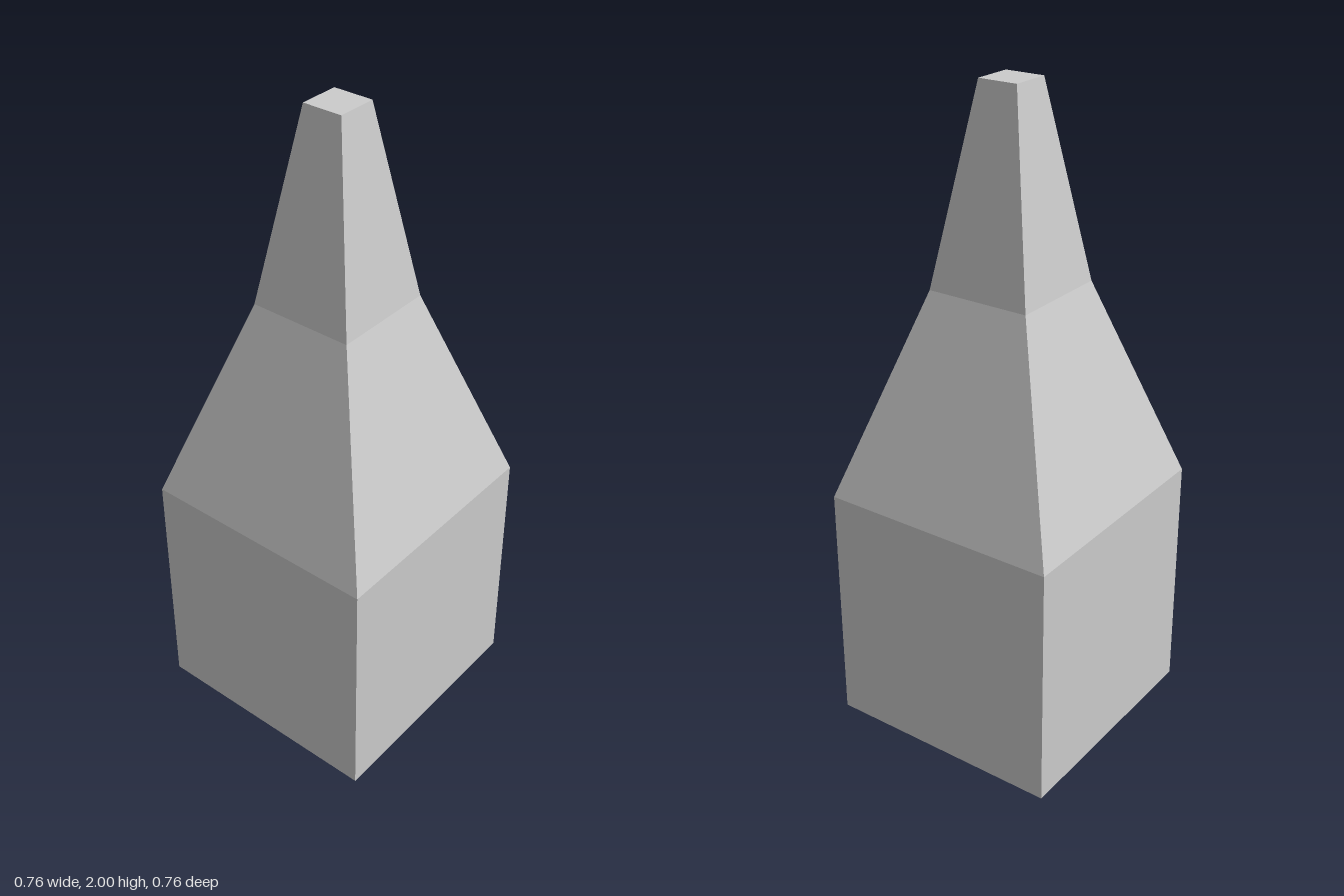
import * as THREE from 'three';

const material = new THREE.MeshStandardMaterial({ color: 0xcccccc, flatShading: true });

// Square section swept up a profile of [half width, height] points
function squareTier(name, profile) {
  const points = profile.map(([half, y]) => new THREE.Vector2(half * Math.SQRT2, y));
  const mesh = new THREE.Mesh(new THREE.LatheGeometry(points, 4, Math.PI / 4), material);
  mesh.name = name;
  return mesh;
}

export function createModel() {
  const group = new THREE.Group();
  group.name = 'taperedTower';

  const base = [0.38, 0.77];
  const neck = [0.165, 1.41];
  const tip = [0.063, 2];

  group.add(
    // Square block, closed underneath
    squareTier('baseBlock', [[0, 0], [base[0], 0], base]),
    // Wide sloping shoulder
    squareTier('shoulder', [base, neck]),
    // Steep upper taper with a flat top
    squareTier('spire', [neck, tip, [0, tip[1]]])
  );
  return group;
}
